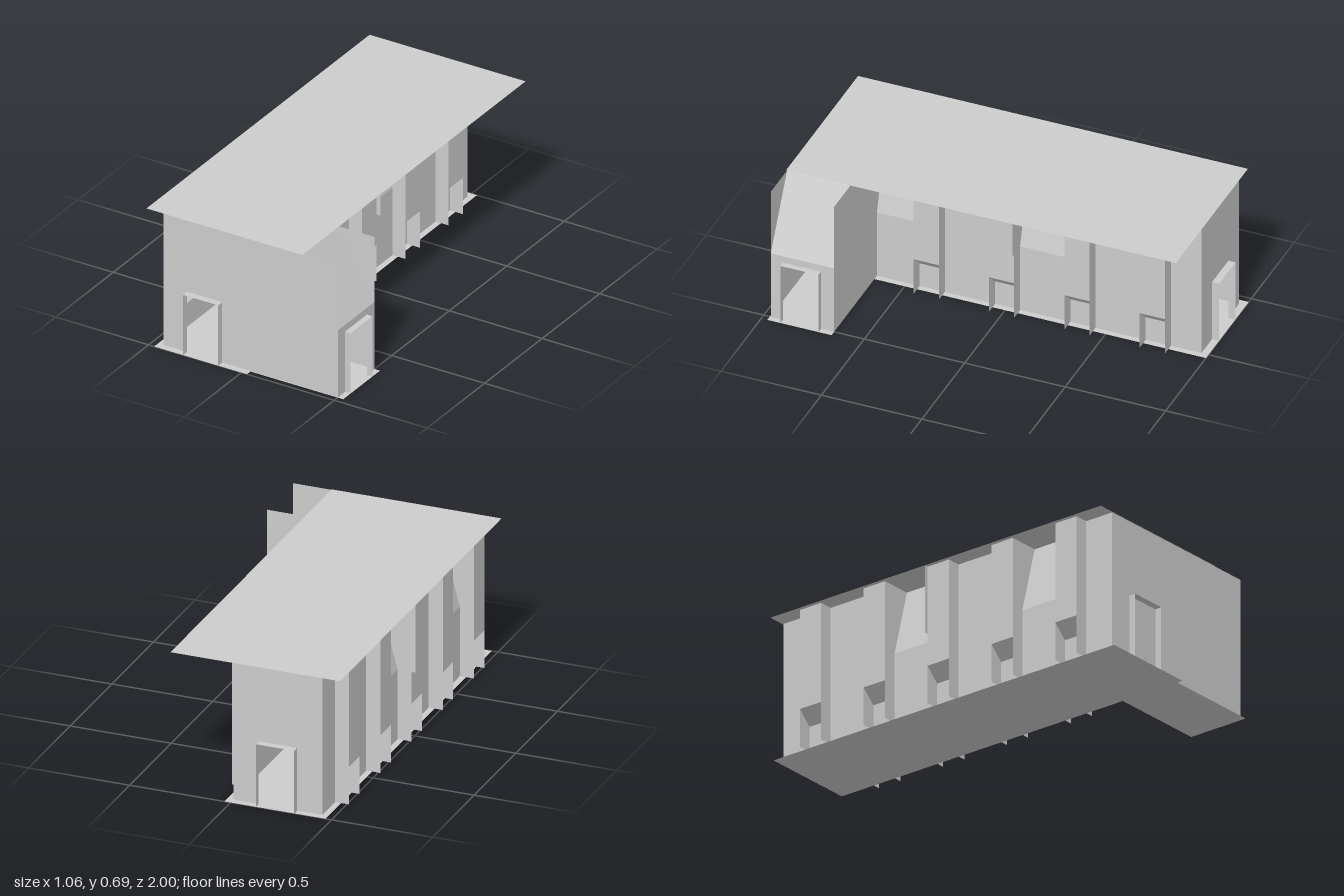
import * as THREE from 'three';

const H = 0.69, MID = 0.35, DOOR = 0.315, END = 0.965;
const LEFT = -0.44, RIGHT = 0, WING = 0.5, WING_Z = 0.65;
const BAY = 0.0625, DEPTH = 0.07, LEAN = 0.09;

export function createModel() {
  const model = new THREE.Group();
  model.name = 'hall';
  const plaster = new THREE.MeshStandardMaterial({ color: 0xcccccc, side: THREE.DoubleSide });
  plaster.name = 'plain grey';

  const add = (parent, name, geometry) => {
    const mesh = new THREE.Mesh(geometry, plaster);
    mesh.name = name;
    parent.add(mesh);
    return mesh;
  };
  const group = (name) => {
    const g = new THREE.Group();
    g.name = name;
    model.add(g);
    return g;
  };
  // Flat four-cornered sheet
  const quad = (parent, name, a, b, c, d) => {
    const geo = new THREE.BufferGeometry();
    geo.setAttribute('position', new THREE.Float32BufferAttribute([a, b, c, a, c, d].flat(), 3));
    geo.computeVertexNormals();
    return add(parent, name, geo);
  };
  // Sheets lying across z, across x, and level
  const acrossZ = (p, n, x0, x1, y0, y1, z) =>
    quad(p, n, [x0, y0, z], [x1, y0, z], [x1, y1, z], [x0, y1, z]);
  const acrossX = (p, n, x, y0, y1, z0, z1) =>
    quad(p, n, [x, y0, z1], [x, y0, z0], [x, y1, z0], [x, y1, z1]);
  const level = (p, n, x0, x1, y, z0, z1) =>
    quad(p, n, [x0, y, z1], [x1, y, z1], [x1, y, z0], [x0, y, z0]);
  // Wall in the xy plane with a doorway cut up from the ground
  const doorWall = (x0, x1, top, d0, d1) => new THREE.ShapeGeometry(new THREE.Shape([
    [x0, 0], [d0, 0], [d0, DOOR], [d1, DOOR], [d1, 0], [x1, 0], [x1, top], [x0, top],
  ].map(([x, y]) => new THREE.Vector2(x, y))));

  // Roof and floor
  level(model, 'roof', -0.53, 0.31, H, -0.97, 0.97);
  level(model, 'hallFloor', -0.47, 0.03, 0, -1, 1);
  level(model, 'wingFloor', 0.03, 0.53, 0, WING_Z, 0.97);

  // End walls with projecting door frames
  for (const s of [1, -1]) {
    const end = group(s > 0 ? 'frontEnd' : 'backEnd');
    const wall = add(end, 'endWall', doorWall(LEFT, s > 0 ? WING : RIGHT, H, -0.315, -0.125));
    wall.position.z = s * END;
    const [z0, z1] = s > 0 ? [END, 1] : [-1, -END];
    for (const x of [-0.315, -0.125]) acrossX(end, 'doorJamb', x, 0, DOOR, z0, z1);
    level(end, 'doorHeader', -0.315, -0.125, DOOR, z0, z1);
  }

  // Side wing with steep roof and its own door
  const wing = group('sideWing');
  const wingWall = add(wing, 'wingWall', doorWall(-END, -WING_Z, MID, -0.905, -0.715));
  wingWall.rotation.y = Math.PI / 2;
  wingWall.position.x = WING;
  for (const z of [0.715, 0.905]) acrossZ(wing, 'doorJamb', WING, 0.53, 0, DOOR, z);
  level(wing, 'doorHeader', WING, 0.53, DOOR, 0.715, 0.905);
  acrossZ(wing, 'wingBackWall', RIGHT, WING, 0, MID, WING_Z);
  acrossZ(wing, 'wingBackParapet', RIGHT - LEAN, WING, MID, H, WING_Z);
  quad(wing, 'wingRoof', [WING, MID, END], [WING, MID, WING_Z], [0.31, H, WING_Z], [0.31, H, END]);

  // Long walls: projecting bays with flat or leaning wall between them
  const longWall = (name, base, s, bays, zEnd) => {
    const side = group(name);
    const out = base + s * DEPTH, inner = base - s * LEAN;
    for (const zc of bays) {
      const z0 = zc - BAY, z1 = zc + BAY;
      for (const z of [z0, z1]) acrossZ(side, 'bayCheek', base, out, 0, H, z);
      acrossX(side, 'bayFace', out, 0.19, H, z0, z1);
      acrossX(side, 'bayBase', base, 0, 0.125, z0, z1);
      quad(side, 'baySlope', [base, 0.125, z1], [base, 0.125, z0], [out, 0.19, z0], [out, 0.19, z1]);
    }
    let z0 = -END;
    for (const edge of [...bays, null]) {
      const z1 = edge === null ? zEnd : edge - BAY;
      const leans = (z0 > -0.4 && z0 < -0.2) || (z0 > 0.4 && z0 < 0.5);
      acrossX(side, 'lowerWall', base, 0, MID, z0, z1);
      if (leans) {
        quad(side, 'leaningWall', [base, MID, z1], [base, MID, z0], [inner, H, z0], [inner, H, z1]);
        for (const z of [z0, z1]) acrossZ(side, 'leanCheek', inner, base, MID, H, z);
      } else {
        acrossX(side, 'upperWall', base, MID, H, z0, z1);
      }
      if (edge !== null) z0 = edge + BAY;
    }
    // Thin upper fin beside the middle bay
    acrossZ(side, 'middleFin', out, base + s * 0.09, MID, H, -BAY);
  };
  longWall('rightLongWall', RIGHT, 1, [-0.75, -0.375, 0, 0.375], WING_Z);
  longWall('leftLongWall', LEFT, -1, [-0.75, -0.375, 0, 0.375, 0.75], END);

  return model;
}
